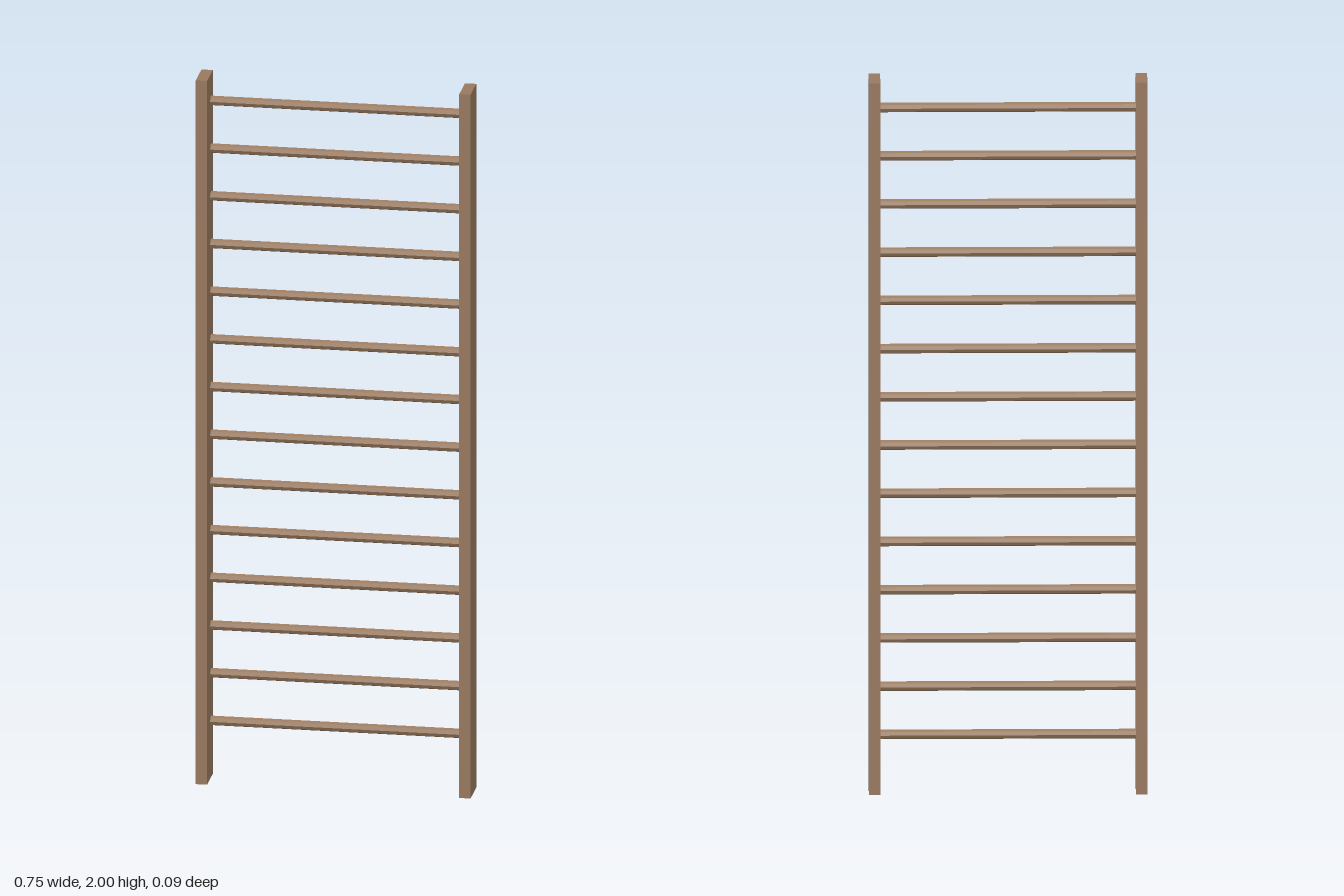
import * as THREE from 'three';

export function createModel() {
  const group = new THREE.Group();
  group.name = 'wallBars';

  const wood = new THREE.MeshStandardMaterial({ color: 0x9a7b60, flatShading: true });
  wood.name = 'brown wood';

  // Upright side rails
  const railGeometry = new THREE.BoxGeometry(0.031, 2, 0.095);
  for (const [name, side] of [['leftRail', 1], ['rightRail', -1]]) {
    const rail = new THREE.Mesh(railGeometry, wood);
    rail.name = name;
    rail.position.set(side * 0.36, 1, 0);
    group.add(rail);
  }

  // Evenly spaced rungs, set towards the back of the rails
  const rungCount = 14, bottom = 0.162, top = 1.924;
  const rungGeometry = new THREE.CylinderGeometry(0.0135, 0.0135, 0.69, 8);
  rungGeometry.rotateZ(Math.PI / 2);
  for (let i = 0; i < rungCount; i++) {
    const rung = new THREE.Mesh(rungGeometry, wood);
    rung.name = `rung${i + 1}`;
    rung.position.set(0, bottom + (top - bottom) * i / (rungCount - 1), -0.017);
    group.add(rung);
  }

  return group;
}
